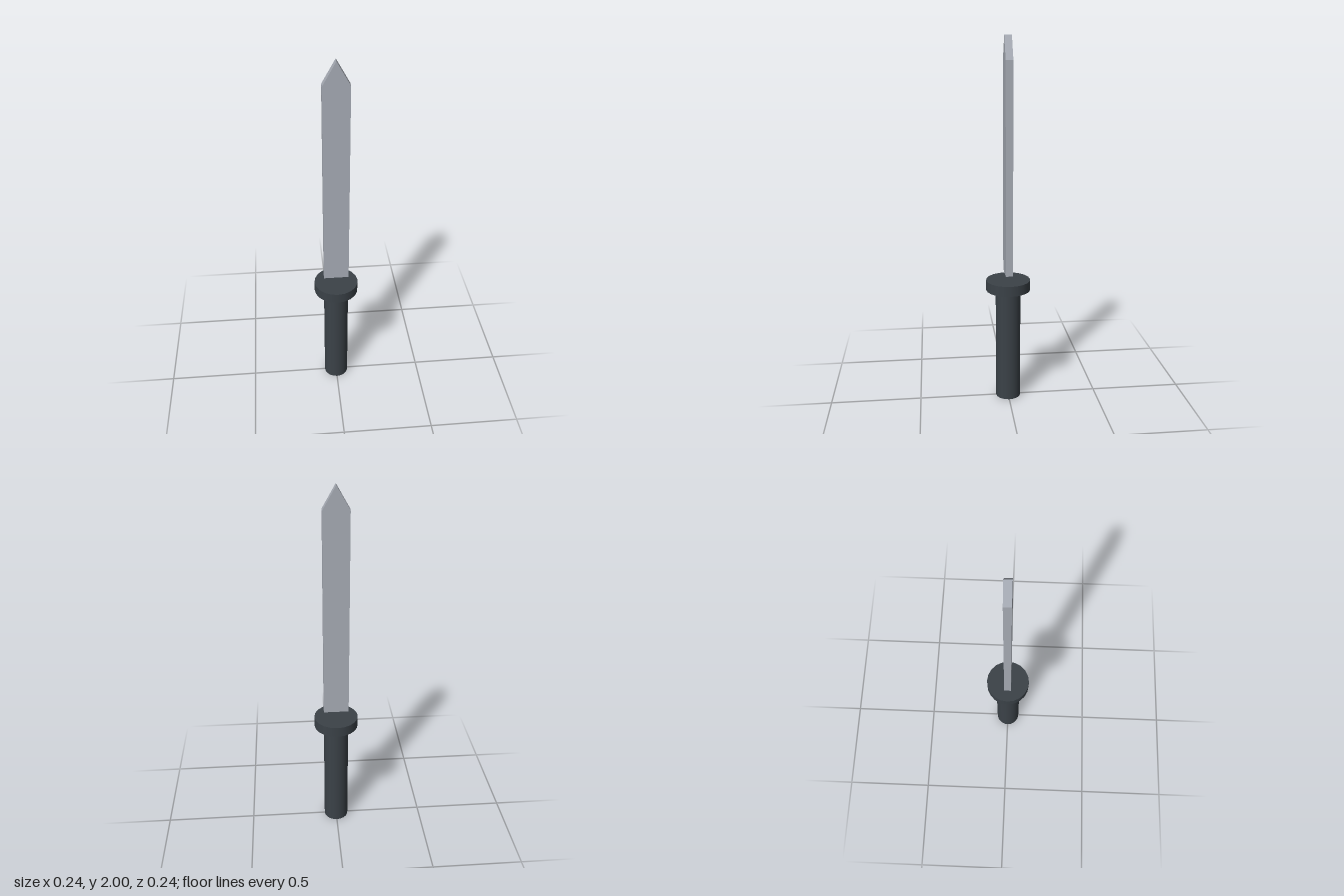
import * as THREE from 'three';

export function createModel() {
  const group = new THREE.Group();
  const steel = new THREE.MeshStandardMaterial({ name: 'steel grey', color: 0xa8adb6 });
  const dark = new THREE.MeshStandardMaterial({ name: 'dark slate', color: 0x3b4248 });

  const add = (name, geometry, material, y = 0) => {
    const mesh = new THREE.Mesh(geometry, material);
    mesh.name = name;
    mesh.position.y = y;
    group.add(mesh);
  };

  // Round grip and the disc guard on top of it
  const gripHeight = 0.64, guardHeight = 0.057, sides = 20;
  add('grip', new THREE.CylinderGeometry(0.069, 0.069, gripHeight, sides), dark, gripHeight / 2);
  add('guard', new THREE.CylinderGeometry(0.122, 0.122, guardHeight, sides), dark, gripHeight + guardHeight / 2);

  // Flat blade with a pointed tip, floating just above the guard
  const halfWidth = 0.069, depth = 0.039;
  const outline = new THREE.Shape([
    new THREE.Vector2(-halfWidth, 0.737),
    new THREE.Vector2(halfWidth, 0.737),
    new THREE.Vector2(halfWidth, 1.878),
    new THREE.Vector2(0, 2),
    new THREE.Vector2(-halfWidth, 1.878),
  ]);
  const blade = new THREE.ExtrudeGeometry(outline, { depth, bevelEnabled: false });
  blade.translate(0, 0, -depth / 2);
  add('blade', blade, steel);

  return group;
}
